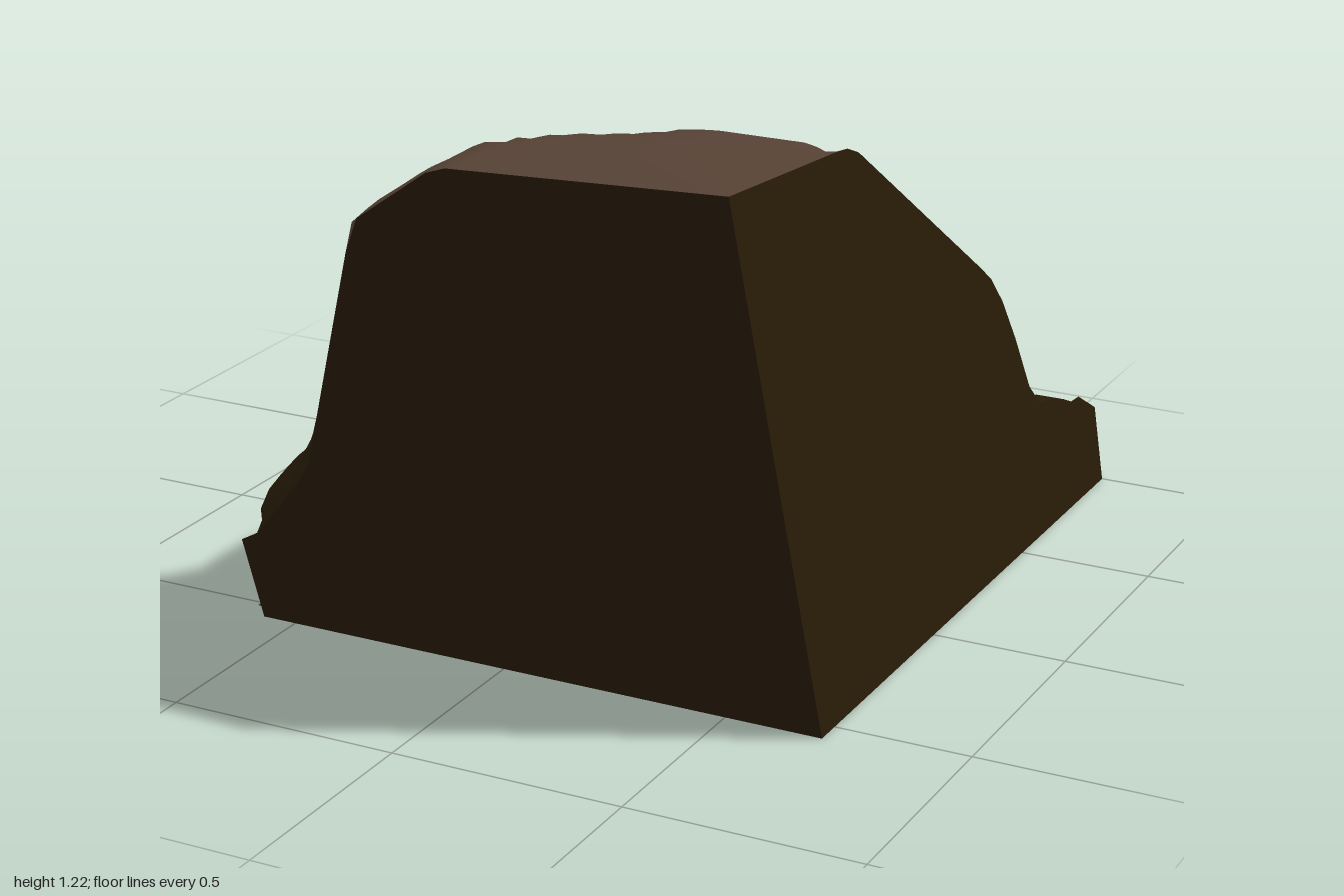
import * as THREE from 'three';

const COLS = 32, ROWS = 35, STEP_X = 1.42 / COLS, STEP_Z = 1.56 / ROWS;
const LEAN = 0.36; // the whole rock leans forward as it rises

// Stepped footprint: first and last row of each column, counted from the front
const runs = [[11, 1], [13, 1], [15, 1], [16, 2], [17, 2], [18, 2], [19, 2], [20, 2], [21, 1], [22, 2],
  [24, 2], [25, 1], [26, 8], [27, 1], [28, 1], [29, 1], [33, 1], [35, 1]];
const backRow = runs.flatMap(([row, n]) => Array(n).fill(row));
const frontRow = [5, 3, 1];
const inside = (i, j) => i >= 0 && i < COLS && j >= (frontRow[i] ?? 0) && j < backRow[i];

// Outline radius by angle around the front right corner: 0 = left, 90 = back
const outline = [[0, 1.29], [5.8, 1.39], [12, 1.45], [19.4, 1.5], [24.3, 1.46], [32.3, 1.42], [39.8, 1.33],
  [48.2, 1.26], [56.4, 1.28], [63.4, 1.3], [79.3, 1.18], [84.2, 1.3], [86.5, 1.47], [90, 1.56]];

// Height from the summit (0) to the outline (1) in four directions
const frontSlope = [[0, 1.22], [0.45, 1.19], [0.475, 1.18], [0.63, 1.04], [0.83, 0.42], [0.96, 0.23], [1, 0.2]];
const leftSlope = [[0, 1.22], [0.437, 1.18], [0.59, 1.03], [0.627, 0.97], [0.718, 0.67], [0.78, 0.46],
  [0.85, 0.38], [0.91, 0.31], [0.94, 0.26], [0.97, 0.2], [1, 0.2]];
const cliffSlope = [[0, 1.22], [0.31, 1.2], [0.47, 1.17], [0.63, 1.05], [0.72, 0.87], [0.78, 0.73],
  [0.83, 0.59], [0.87, 0.47], [0.92, 0.3], [0.96, 0.22], [1, 0.2]];
const backSlope = [[0, 1.22], [0.31, 1.18], [0.34, 1.16], [0.683, 0.71], [0.716, 0.63], [0.74, 0.54],
  [0.77, 0.39], [0.795, 0.33], [0.865, 0.305], [0.913, 0.265], [0.94, 0.265], [1, 0.2]];

function sample(table, t) {
  if (t <= table[0][0]) return table[0][1];
  for (let k = 1; k < table.length; k++) {
    const [a, va] = table[k - 1], [b, vb] = table[k];
    if (t <= b) return va + (vb - va) * (t - a) / (b - a);
  }
  return table[table.length - 1][1];
}

// Radial hill, planed off by the slope that falls straight to the back
function heightAt(i, j) {
  const dx = (COLS - i) * STEP_X, dz = j * STEP_Z;
  const angle = THREE.MathUtils.radToDeg(Math.atan2(dz, dx));
  const f = Math.hypot(dx, dz) / sample(outline, angle);
  const [front, left, cliff, back] = [frontSlope, leftSlope, cliffSlope, backSlope].map((s) => sample(s, f));
  const radial = sample([[0, front], [12, left], [22, left], [48, cliff], [80, cliff], [90, back]], angle);
  return Math.min(radial, sample(backSlope, j / ROWS));
}

// The surface drops to the ground along the stepped outline, but not on the two cut faces
const onOutline = (i, j) => j > 0 && i < COLS &&
  !(inside(i, j) && inside(i - 1, j) && inside(i, j - 1) && inside(i - 1, j - 1));
const base = (i, j) => [-0.71 + i * STEP_X, 0, 0.56 - j * STEP_Z];
function surface(i, j) {
  const [x, , z] = base(i, j);
  const h = onOutline(i, j) ? 0 : heightAt(i, j);
  return [x, h, z + LEAN * h];
}

// Bare rock areas seen in plan (x, z); small spots inside them turn back to earth
const spot = (x, z, r = 0.018) => [[x - r, z - r], [x + r, z - r], [x + r, z + r], [x - r, z + r]];
const areas = [
  [[0.8, -0.14], [0.4, -0.17], [0.3, -0.22], [0.22, -0.09], [0.12, -0.12], [0.05, 0], [-0.05, -0.02],
    [-0.09, 0], [-0.09, 0.22], [-0.05, 0.25], [-0.04, 0.3], [0, 0.33], [-0.05, 0.36], [-0.22, 0.24],
    [-0.35, 0.33], [-0.28, 0.42], [-0.27, 0.85], [-0.1, 1.1], [0.8, 1.1]],
  [[0.61, -0.34], [0.67, -0.42], [0.75, -0.42], [0.75, -0.26], [0.67, -0.26]],
  spot(-0.12, -0.28, 0.025), spot(0.02, 0.41), spot(0.055, 0.455), spot(0.11, 0.54),
];
function isBare(x, z) {
  let hit = false;
  for (const poly of areas) {
    poly.forEach(([ax, az], k) => {
      const [bx, bz] = poly[(k + 1) % poly.length];
      if ((az > z) !== (bz > z) && x < ax + (bx - ax) * (z - az) / (bz - az)) hit = !hit;
    });
  }
  return hit;
}

function meshFrom(name, positions, index, material) {
  const geometry = new THREE.BufferGeometry();
  geometry.setAttribute('position', new THREE.Float32BufferAttribute(positions, 3));
  if (index) geometry.setIndex(index);
  geometry.computeVertexNormals();
  const mesh = new THREE.Mesh(geometry, material);
  mesh.name = name;
  return mesh;
}

export function createModel() {
  const earth = new THREE.MeshStandardMaterial({ color: 0x2a1d08 });
  earth.name = 'dark earth';
  const rock = new THREE.MeshStandardMaterial({ color: 0x574235 });
  rock.name = 'bare rock';
  const group = new THREE.Group();
  group.name = 'rockyHill';

  const points = [], earthIndex = [], rockIndex = [];
  for (let j = 0; j <= ROWS; j++) for (let i = 0; i <= COLS; i++) points.push(surface(i, j));
  const id = (i, j) => j * (COLS + 1) + i;
  const earthSkirt = [], rockSkirt = [], sides = [], floor = [];
  const quad = (list, a, b, c, d) => list.push(...a, ...b, ...c, ...a, ...c, ...d);
  // Upright wall between two neighbouring grid corners
  function wall(a, b) {
    if (surface(...a)[1] + surface(...b)[1] > 0) quad(sides, base(...a), base(...b), surface(...b), surface(...a));
  }

  for (let j = 0; j < ROWS; j++) {
    for (let i = 0; i < COLS; i++) {
      if (!inside(i, j)) continue;
      const a = id(i, j), b = id(i + 1, j), c = id(i + 1, j + 1), d = id(i, j + 1);
      for (const tri of [[a, b, d], [b, c, d]]) {
        const corners = tri.map((k) => points[k]);
        const x = corners.reduce((s, p) => s + p[0], 0) / 3;
        const z = corners.reduce((s, p) => s + p[2], 0) / 3;
        const bare = isBare(x, z);
        // Triangles touching the ground form the sharp, toothed skirt
        if (corners.some((p) => p[1] === 0)) (bare ? rockSkirt : earthSkirt).push(...corners.flat());
        else (bare ? rockIndex : earthIndex).push(...tri);
      }
      quad(floor, base(i, j), base(i, j + 1), base(i + 1, j + 1), base(i + 1, j));
      if (!inside(i, j - 1)) wall([i, j], [i + 1, j]);
      if (!inside(i + 1, j)) wall([i + 1, j], [i + 1, j + 1]);
      if (!inside(i, j + 1)) wall([i + 1, j + 1], [i, j + 1]);
      if (!inside(i - 1, j)) wall([i, j + 1], [i, j]);
    }
  }

  // Smooth hill surface, split into earth and bare rock
  const top = meshFrom('hillSurface', points.flat(), [...earthIndex, ...rockIndex], [earth, rock]);
  top.geometry.addGroup(0, earthIndex.length, 0);
  top.geometry.addGroup(earthIndex.length, rockIndex.length, 1);

  // Toothed skirt, cut faces and underside
  group.add(top, meshFrom('earthSkirt', earthSkirt, null, earth), meshFrom('cutFaces', sides, null, earth),
    meshFrom('underside', floor, null, earth));
  if (rockSkirt.length) group.add(meshFrom('rockSkirt', rockSkirt, null, rock));
  return group;
}
